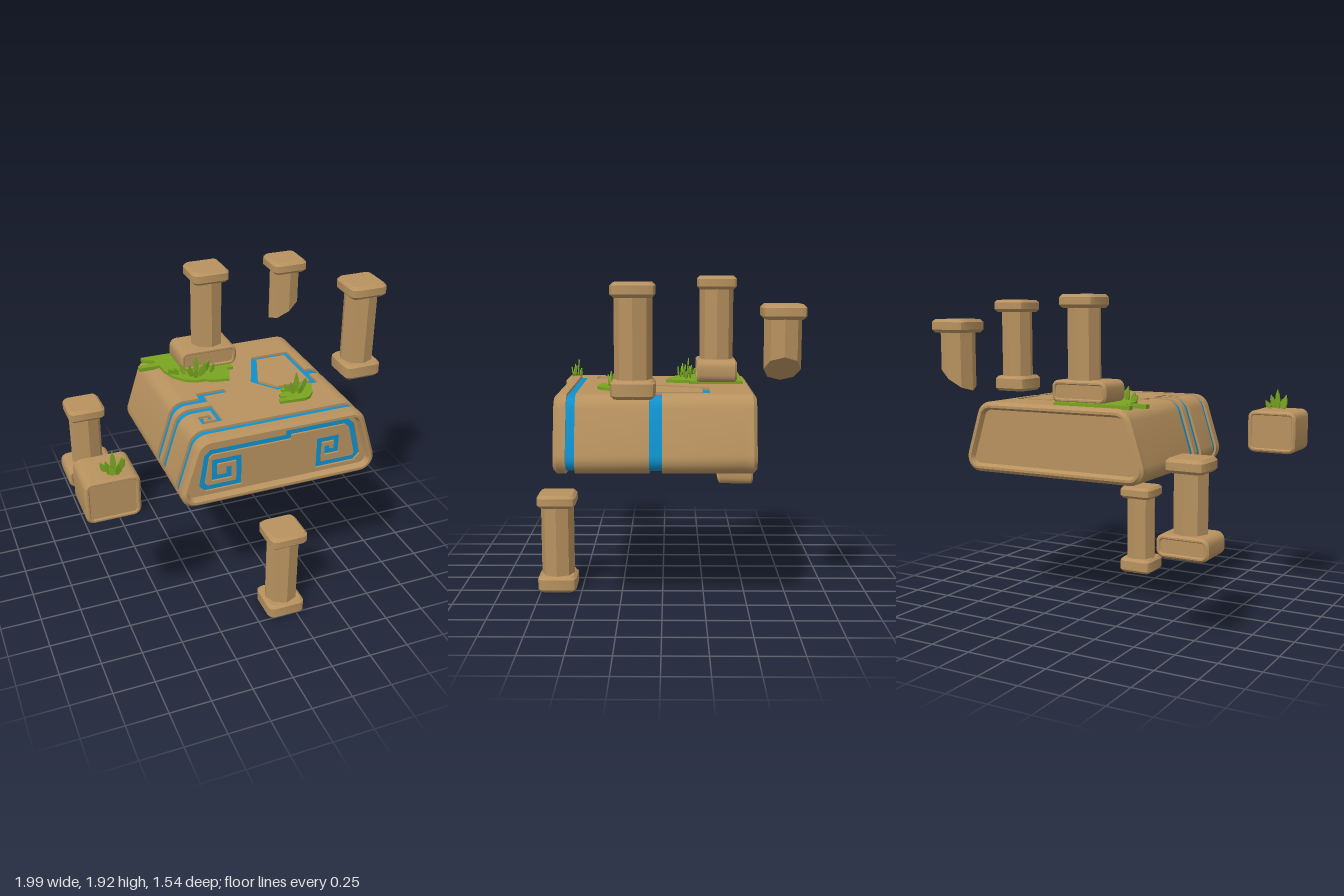
import * as THREE from 'three';
import { toCreasedNormals } from 'three/addons/utils/BufferGeometryUtils.js';

const stone = new THREE.MeshStandardMaterial({ color: 0xb8925f });
stone.name = 'sandstone';
const blue = new THREE.MeshStandardMaterial({ color: 0x0f90cc });
blue.name = 'glowing blue';
const green = new THREE.MeshStandardMaterial({ color: 0x78a420 });
green.name = 'grass green';

function add(parent, name, geometry, material, x = 0, y = 0, z = 0) {
  const mesh = new THREE.Mesh(toCreasedNormals(geometry, 0.6), material);
  mesh.name = name;
  mesh.position.set(x, y, z);
  parent.add(mesh);
  return mesh;
}

const shapeOf = (pts) => new THREE.Shape(pts.map((p) => (p.isVector2 ? p : new THREE.Vector2(p[0], p[1]))));

// Straight extrusion between two depths
function prism(shape, z0, z1) {
  return new THREE.ExtrudeGeometry(shape, { depth: z1 - z0, bevelEnabled: false }).translate(0, 0, z0);
}

// Horizontal plate from an (x, z) shape, top face at yTop
function plate(pts, yTop, thick) {
  return prism(shapeOf(pts), 0, thick).rotateX(Math.PI / 2).translate(0, yTop, 0);
}

// Counter-clockwise polygon with rounded corners [x, y, radius], returned as a function of inset
function roundedOutline(corners, seg = 6) {
  const n = corners.length;
  return (inset = 0) => corners.flatMap(([x, y, r], i) => {
    const c = new THREE.Vector2(x, y);
    const prev = corners[(i + n - 1) % n], next = corners[(i + 1) % n];
    const u = new THREE.Vector2(prev[0], prev[1]).sub(c).normalize();
    const v = new THREE.Vector2(next[0], next[1]).sub(c).normalize();
    const half = Math.acos(u.dot(v)) / 2;
    const centre = c.clone().addScaledVector(u.clone().add(v).normalize(), r / Math.sin(half));
    const a0 = Math.atan2(u.x, -u.y);
    return Array.from({ length: seg + 1 }, (_, k) => {
      const a = a0 + (Math.PI - 2 * half) * k / seg;
      return new THREE.Vector2(centre.x + (r - inset) * Math.cos(a), centre.y + (r - inset) * Math.sin(a));
    });
  });
}

// Skin through outline rings given as [inset, z], back to front
function loft(outline, rings) {
  const pos = [];
  const loops = rings.map(([inset, z]) => outline(inset).map((p) => [p.x, p.y, z]));
  for (let k = 0; k < loops.length - 1; k++) {
    const A = loops[k], B = loops[k + 1];
    A.forEach((a, i) => {
      const j = (i + 1) % A.length;
      pos.push(...a, ...A[j], ...B[j], ...a, ...B[j], ...B[i]);
    });
  }
  const g = new THREE.BufferGeometry();
  g.setAttribute('position', new THREE.Float32BufferAttribute(pos, 3));
  return g;
}

// Constant-width band along a polyline
function stroke(path, width) {
  const p = path.map(([x, y]) => new THREE.Vector2(x, y));
  const normal = (a, b) => new THREE.Vector2(a.y - b.y, b.x - a.x).normalize();
  const sides = [[], []];
  p.forEach((q, i) => {
    const n1 = normal(p[Math.max(i - 1, 0)], p[Math.max(i, 1)]);
    const n2 = i < p.length - 1 ? normal(q, p[i + 1]) : n1;
    const m = n1.clone().add(n2).multiplyScalar(width / 2 / (1 + n1.dot(n2)));
    sides[0].push(q.clone().add(m));
    sides[1].unshift(q.clone().sub(m));
  });
  return [...sides[0], ...sides[1]];
}

// Main floating slab: blue core under a carved stone shell
function buildSlab() {
  const g = new THREE.Group();
  g.name = 'carvedSlab';
  const yTop = 1.28, yBottom = 0.845, d = 0.015, zBack = -0.45, zFront = 0.48;
  const outline = roundedOutline([[0.832, yBottom, 0.088], [0.695, yTop, 0.1], [-0.325, yTop, 0.1], [-0.462, yBottom, 0.088]]);
  const outer = outline(0), inner = outline(d);
  add(g, 'core', prism(shapeOf(inner), -0.49, 0.54), blue);

  // Side shells, split where grooves run over the edge
  const sideShell = (name, from, spans) => {
    const shape = shapeOf([...outer.slice(from, from + 14), ...inner.slice(from, from + 14).reverse()]);
    spans.forEach(([a, b]) => add(g, name, prism(shape, a, b), stone));
  };
  sideShell('leftSideShell', 0, [[zBack, 0], [0.07, zFront]]);
  sideShell('rightSideShell', 14, [[zBack, 0.125], [0.18, 0.23], [0.285, zFront]]);

  // Top plate with pentagon and spiral grooves cut from its edges
  let xr = outer[13].x, xl = outer[14].x;
  add(g, 'topPlate', plate([
    [xl, zBack], [xr, zBack], [xr, 0],
    [0.6, 0], [0.6, -0.27], [0.35, -0.27], [0.216, 0.04], [0.33, 0.19], [0.6, 0.19], [0.6, 0.07],
    [xr, 0.07], [xr, zFront], [xl, zFront], [xl, 0.285],
    [-0.145, 0.285], [-0.145, 0.395], [-0.215, 0.395], [-0.215, 0.36], [-0.185, 0.36], [-0.185, 0.372], [-0.2, 0.372],
    [-0.2, 0.385], [-0.165, 0.385], [-0.165, 0.335], [-0.24, 0.335], [-0.24, 0.42], [-0.115, 0.42], [-0.115, 0.23],
    [xl, 0.23], [xl, 0.18],
    [-0.115, 0.18], [-0.115, 0.11], [0.03, 0.11], [0.03, 0.065], [-0.155, 0.065], [-0.155, 0.125], [xl, 0.125],
  ], yTop, d), stone);
  add(g, 'pentagonIsland', plate([[0.264, 0.04], [0.37, -0.23], [0.565, -0.23], [0.565, 0.148], [0.35, 0.148]], yTop, d), stone);

  // Bottom plates between the grooves
  xr = outer[0].x;
  xl = outer[27].x;
  [
    [[xl, zBack], [xr, zBack], [xr, 0], [0.06, 0], [0.06, 0.125], [xl, 0.125]],
    [[xl, 0.18], [0.06, 0.18], [0.06, 0.23], [xl, 0.23]],
    [[xl, 0.285], [0.11, 0.285], [0.11, 0.07], [xr, 0.07], [xr, zFront], [xl, zFront]],
  ].forEach((pts) => add(g, 'bottomPlate', plate(pts, yBottom + d, d), stone));

  // Framed ends
  add(g, 'frontFrame', loft(outline, [[0.02, 0.53], [0, 0.53], [0, 0.58], [0.02, 0.6], [0.035, 0.6], [0.05, 0.565]]), stone);
  add(g, 'backFrame', loft(outline, [[0.05, -0.495], [0.035, -0.525], [0.02, -0.525], [0, -0.505], [0, zBack]]), stone);
  add(g, 'backPanel', prism(shapeOf(outline(0.05)), -0.495, -0.48), stone);

  // Front panel with a band linking two spirals
  const panel = shapeOf(outline(0.05));
  panel.holes.push(new THREE.Path(stroke([
    [-0.13, 1.06], [-0.13, 1.0], [-0.22, 1.0], [-0.22, 1.105], [-0.07, 1.105], [-0.07, 0.94], [-0.27, 0.94], [-0.297, 0.967],
    [-0.268, 1.148], [-0.24, 1.175], [0.237, 1.175], [0.237, 1.203], [0.61, 1.203], [0.643, 1.172], [0.695, 0.967],
    [0.67, 0.94], [0.44, 0.94], [0.44, 1.105], [0.552, 1.105], [0.552, 1.02], [0.493, 1.02], [0.493, 1.062],
  ], 0.036)));
  add(g, 'frontPanel', prism(panel, 0.553, 0.565), stone);
  add(g, 'frontGrooveFloor', prism(shapeOf(outline(0.05)), 0.53, 0.553), blue);
  return g;
}

// Rounded block with shallow framed panels at front and back
function block(parent, name, w, h, depth, x, y, z) {
  const a = w / 2, b = h / 2, c = depth / 2, r = 0.045;
  const outline = roundedOutline([[a, -b, r], [a, b, r], [-a, b, r], [-a, -b, r]], 4);
  const g = new THREE.Group();
  g.name = name;
  g.position.set(x, y + b, z);
  add(g, 'blockBody', loft(outline, [
    [0.027, -c + 0.008], [0.021, -c], [0.012, -c], [0, -c + 0.012],
    [0, c - 0.012], [0.012, c], [0.021, c], [0.027, c - 0.008]]), stone);
  add(g, 'blockPanels', prism(shapeOf(outline(0.027)), -c + 0.008, c - 0.008), stone);
  parent.add(g);
}

// Square bevelled slab used at the ends of a column
function capital(parent, name, y0, y1) {
  const s = 0.1, bevel = 0.018;
  const pts = roundedOutline([[s, -s, 0.022], [s, s, 0.022], [-s, s, 0.022], [-s, -s, 0.022]], 2)(0);
  const geo = new THREE.ExtrudeGeometry(shapeOf(pts), {
    depth: y1 - y0 - 2 * bevel, bevelThickness: bevel, bevelSize: bevel, bevelSegments: 1,
  }).rotateX(-Math.PI / 2);
  add(parent, name, geo, stone, 0, y0 + bevel, 0);
}

// Octagonal column; a missing foot is a plinth block or a slanted break
function column(parent, name, x, z, y0, y1, foot) {
  const g = new THREE.Group();
  g.name = name;
  g.position.set(x, 0, z);
  const h = y1 - y0 - 0.03;
  const shaft = new THREE.CylinderGeometry(0.102, 0.102, h, 8).translate(0, y0 + h / 2, 0);
  if (foot === 'broken') {
    const p = shaft.attributes.position;
    for (let i = 0; i < p.count; i++) {
      if (p.getY(i) < y0 + 0.01) p.setY(i, y0 + 0.07 + p.getX(i) * 0.7);
    }
  }
  add(g, 'shaft', shaft, stone);
  capital(g, 'capital', y1 - 0.08, y1);
  if (foot === 'base') capital(g, 'base', y0, y0 + 0.1);
  parent.add(g);
}

// Tuft of pointed blades: [dx, dz, height, lean]
function tuft(parent, name, x, y, z, blades) {
  const g = new THREE.Group();
  g.name = name;
  g.position.set(x, y, z);
  blades.forEach(([dx, dz, h, lean], i) => {
    const w = 0.017;
    const leaf = shapeOf([[-w * 0.4, 0], [w * 0.4, 0], [w, h * 0.45], [w * 0.7, h * 0.72], [0, h], [-w * 0.7, h * 0.72], [-w, h * 0.45]]);
    const blade = add(g, 'blade', prism(leaf, -0.004, 0.004), green, dx, 0, dz);
    blade.rotation.set(i % 2 ? 0.12 : -0.08, lean * 0.8, -lean);
  });
  parent.add(g);
}

export function createModel() {
  const model = new THREE.Group();
  model.name = 'floatingRuins';
  model.add(buildSlab());

  // Columns and blocks
  block(model, 'topPlinth', 0.37, 0.135, 0.24, 0.035, 1.29, -0.325);
  column(model, 'topColumn', 0.06, -0.325, 1.4, 1.925, 'plinth');
  column(model, 'leftColumn', 0.873, 0.15, 1.292, 1.898, 'base');
  column(model, 'brokenColumn', 0.74, -0.652, 1.36, 1.78, 'broken');
  column(model, 'frontColumn', 0.185, 0.65, 0, 0.61, 'base');
  block(model, 'lowPlinth', 0.315, 0.133, 0.24, -0.721, 0.487, -0.5);
  column(model, 'lowColumn', -0.722, -0.5, 0.6, 1.04, 'plinth');
  block(model, 'looseBlock', 0.31, 0.262, 0.27, -0.845, 0.947, 0.547);

  // Moss patches
  add(model, 'backMoss', plate([
    [-0.33, -0.485], [0.18, -0.485], [0.18, -0.16], [0.135, -0.16], [0.135, -0.115], [0.1, -0.02], [-0.01, -0.04],
    [-0.04, -0.065], [-0.1, -0.07], [-0.16, -0.1], [-0.215, -0.17], [-0.245, -0.26], [-0.25, -0.34],
    [-0.38, -0.34], [-0.38, -0.38], [-0.26, -0.385], [-0.265, -0.42], [-0.33, -0.45]], 1.298, 0.024), green);
  add(model, 'frontMoss', plate([
    [0.34, 0.21], [0.545, 0.21], [0.505, 0.31], [0.465, 0.36], [0.425, 0.375], [0.27, 0.36], [0.28, 0.33],
    [0.345, 0.325], [0.3, 0.3], [0.3, 0.275], [0.38, 0.255], [0.34, 0.235]], 1.298, 0.024), green);

  // Grass tufts
  tuft(model, 'backGrass', -0.08, 1.29, -0.15, [
    [0.01, 0, 0.125, 0], [-0.03, 0.02, 0.09, -0.2], [0.045, 0.02, 0.09, 0.15], [0.075, -0.02, 0.085, 0.25],
    [-0.06, -0.02, 0.075, -0.3], [-0.1, -0.03, 0.06, -0.45], [0.02, 0.04, 0.075, 0.1], [-0.01, 0.05, 0.07, -0.15],
    [0.1, 0.01, 0.07, 0.4], [-0.13, -0.05, 0.05, -0.5]]);
  tuft(model, 'frontGrass', 0.412, 1.29, 0.28, [
    [0, 0, 0.13, 0], [-0.025, 0.015, 0.09, -0.3], [0.025, 0.01, 0.09, 0.3], [-0.035, -0.015, 0.07, -0.6],
    [0.04, -0.01, 0.085, 0.45], [0.008, 0.025, 0.075, 0.12]]);
  tuft(model, 'blockGrass', -0.818, 1.2, 0.61, [
    [0, 0, 0.135, 0], [-0.025, 0.015, 0.1, -0.25], [0.025, 0.015, 0.1, 0.25], [-0.035, -0.015, 0.075, -0.5],
    [0.04, -0.015, 0.07, 0.5], [0.01, 0.03, 0.085, 0.1], [-0.012, 0.03, 0.07, -0.15]]);
  return model;
}
